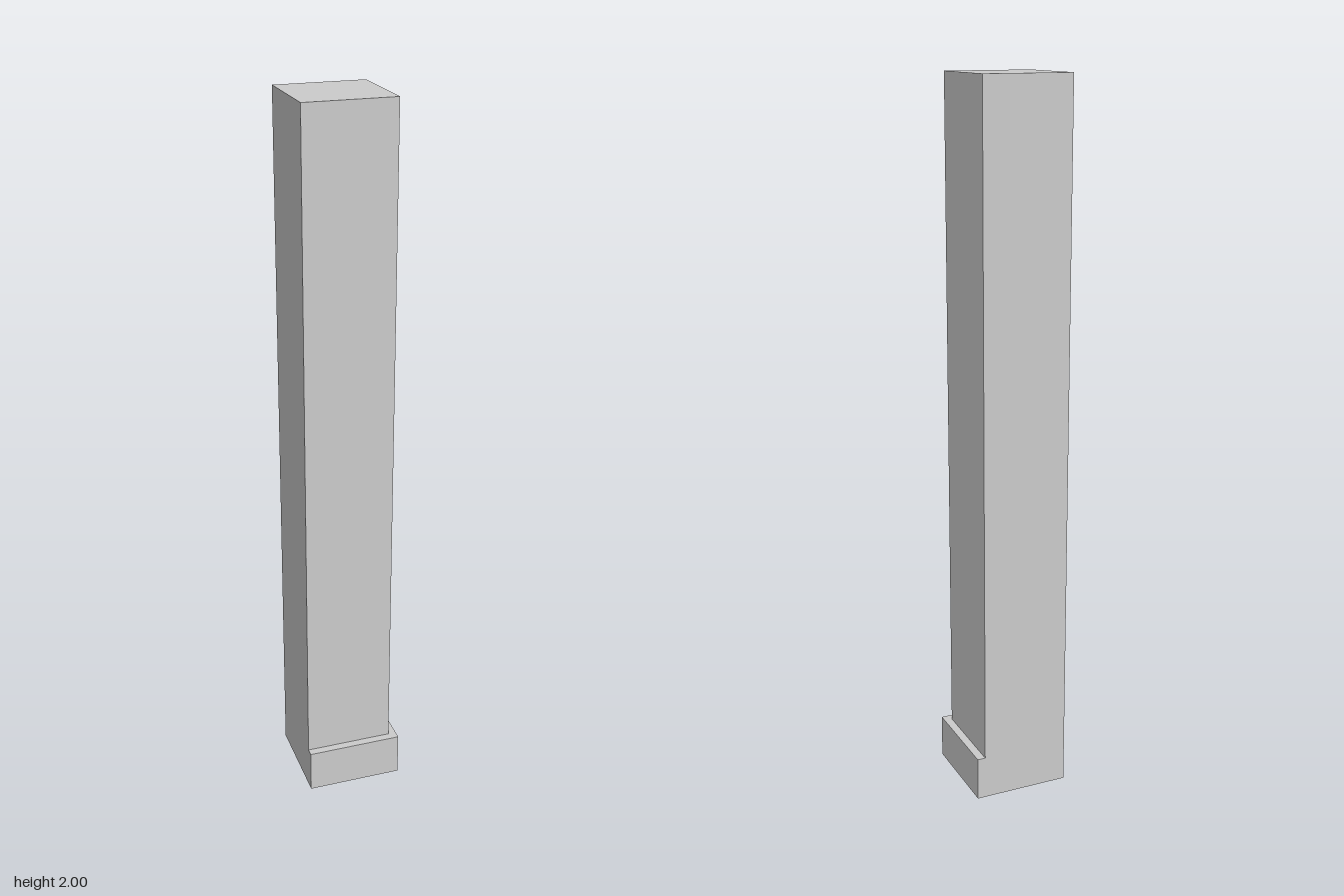
import * as THREE from 'three';

const material = new THREE.MeshStandardMaterial({ color: 0xcccccc, flatShading: true });

// Square block with its corner at the shared back (-x, -z) corner
function block(name, corner, width, bottom, top) {
  const mesh = new THREE.Mesh(new THREE.BoxGeometry(width, top - bottom, width), material);
  mesh.name = name;
  mesh.position.set(corner + width / 2, (bottom + top) / 2, corner + width / 2);
  return mesh;
}

export function createModel() {
  const group = new THREE.Group();
  group.name = 'cornerPillar';

  const baseWidth = 0.273, shaftWidth = 0.25, baseHeight = 0.125;
  const corner = -baseWidth / 2;

  // Plinth projects past the shaft on the front and +x sides only
  group.add(block('plinth', corner, baseWidth, 0, baseHeight));
  group.add(block('shaft', corner, shaftWidth, baseHeight, 2));
  return group;
}
